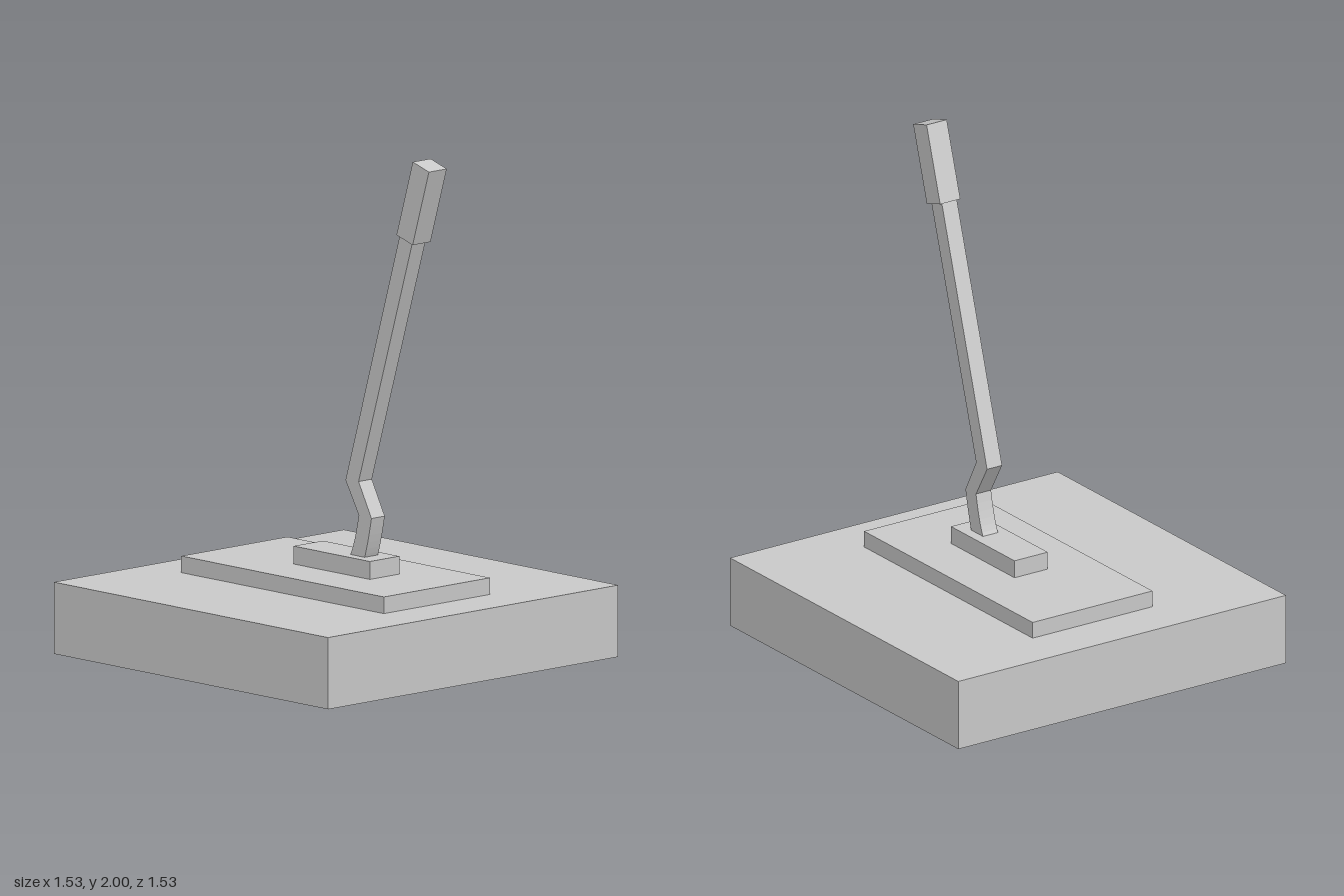
import * as THREE from 'three';

const material = new THREE.MeshStandardMaterial({ color: 0xcccccc, flatShading: true });

// Box given by its lower and upper limits in x and y, centred on z
function slab(name, x0, x1, y0, y1, depth) {
  const mesh = new THREE.Mesh(new THREE.BoxGeometry(x1 - x0, y1 - y0, depth), material);
  mesh.position.set((x0 + x1) / 2, (y0 + y1) / 2, 0);
  mesh.name = name;
  return mesh;
}

// Side outline extruded evenly about z = 0
function extruded(name, shape, depth) {
  const geometry = new THREE.ExtrudeGeometry(shape, { depth, bevelEnabled: false, curveSegments: 6 });
  geometry.translate(0, 0, -depth / 2);
  const mesh = new THREE.Mesh(geometry, material);
  mesh.name = name;
  return mesh;
}

export function createModel() {
  const model = new THREE.Group();
  model.name = 'lever';

  // Stepped base
  model.add(
    slab('base', -0.765, 0.765, 0, 0.28, 1.53),
    slab('plate', -0.567, 0.563, 0.28, 0.345, 0.56),
    slab('pivotBlock', -0.155, 0.271, 0.345, 0.415, 0.155)
  );

  // Cranked shaft: curved foot, kink, long straight arm
  const shaft = new THREE.Shape();
  shaft.moveTo(0.115, 0.41);
  shaft.lineTo(0.195, 0.41);
  shaft.quadraticCurveTo(0.213, 0.46, 0.235, 0.572);
  shaft.lineTo(0.163, 0.706);
  shaft.lineTo(0.466, 1.69);
  shaft.lineTo(0.396, 1.71);
  shaft.lineTo(0.09, 0.702);
  shaft.lineTo(0.164, 0.575);
  shaft.quadraticCurveTo(0.142, 0.46, 0.115, 0.41);
  model.add(extruded('shaft', shaft, 0.07));

  // Handle grip, in line with the arm
  const grip = new THREE.Shape([
    [0.387, 1.702], [0.477, 1.675], [0.568, 1.973], [0.478, 2]
  ].map(([x, y]) => new THREE.Vector2(x, y)));
  model.add(extruded('grip', grip, 0.094));

  return model;
}
